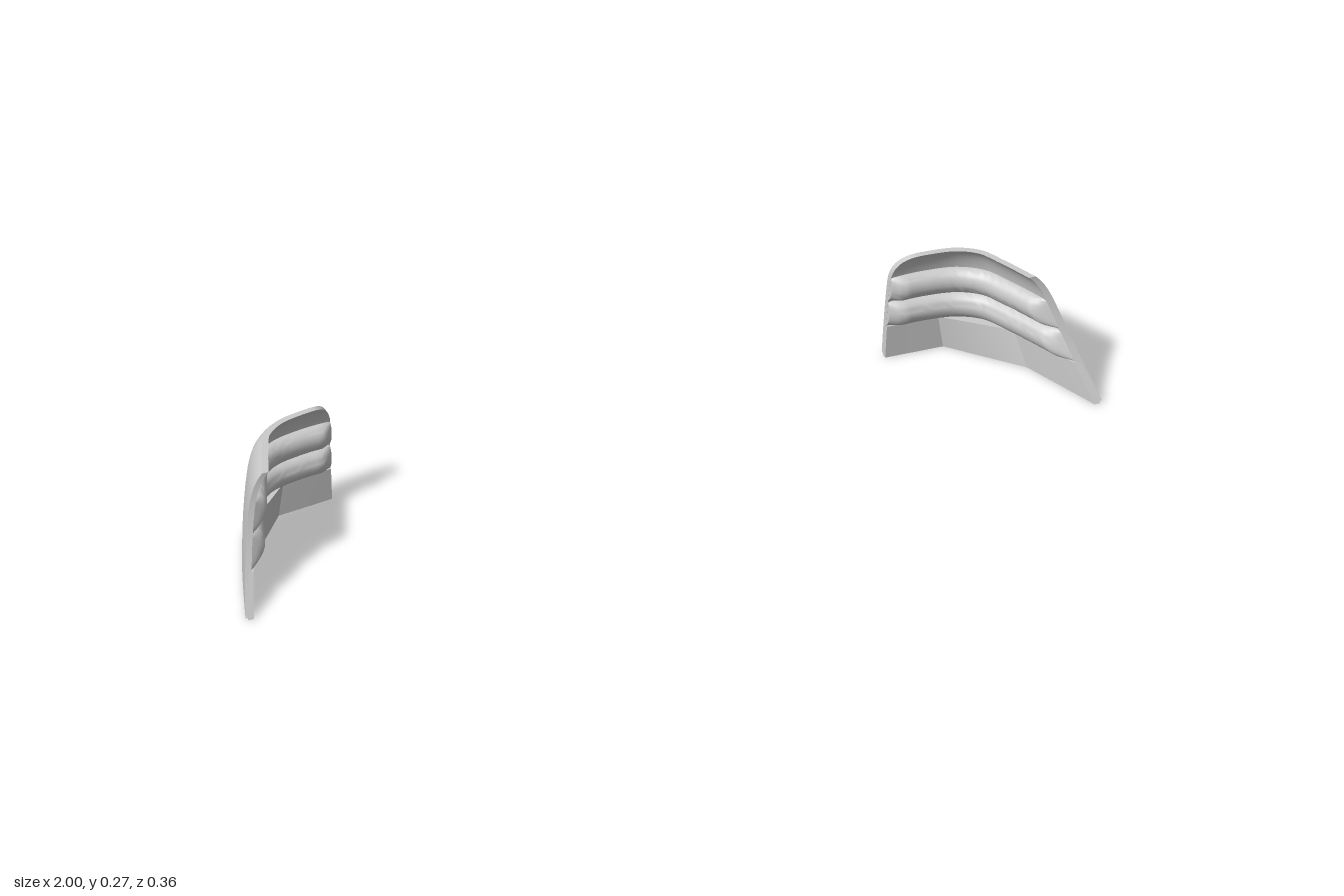
import * as THREE from 'three';
import { toCreasedNormals } from 'three/addons/utils/BufferGeometryUtils.js';

const HEIGHT = 0.27;

// Plan line of the outer face (x, z), from the rear end to the front tip
const plan = new THREE.CatmullRomCurve3([
  [0.645, -0.18], [0.73, -0.176], [0.81, -0.158], [0.87, -0.115],
  [0.905, -0.05], [0.94, 0.03], [1, 0.18],
].map(([x, z]) => new THREE.Vector3(x, 0, z)));

// Swept front edge, rounded rear edge and inward lean, all by height
const frontZ = (y) => 0.047 + 0.133 * Math.pow(1 - y / HEIGHT, 1.52);
const rearX = (y) => {
  const k = Math.min(1, Math.max(0, (y - 0.2) / 0.07));
  return 0.645 + 0.04 * y + 0.05 * (1 - Math.sqrt(1 - k * k));
};
const lean = (y) => 0.02 * (y / HEIGHT) ** 2 + 0.022 * (y / HEIGHT) ** 10;

// Point at plan position s, height y and depth behind the outer face
function planPoint(s, y, depth) {
  const p = plan.getPointAt(s), t = plan.getTangentAt(s), d = depth + lean(y);
  return new THREE.Vector3(p.x - t.z * d, y, p.z + t.x * d);
}

function solve(test) {
  let lo = 0, hi = 1;
  for (let i = 0; i < 16; i++) {
    const mid = (lo + hi) / 2;
    if (test(mid)) lo = mid; else hi = mid;
  }
  return (lo + hi) / 2;
}

// Row of points along the panel, u = 0 at the rear edge, 1 at the front edge
function rowAt(y, depth) {
  const s0 = solve((s) => planPoint(s, y, depth).x < rearX(y));
  const s1 = solve((s) => planPoint(s, y, depth).z < frontZ(y));
  return (u, d = depth) => planPoint(s0 + (s1 - s0) * u, y, d);
}

// Closed solid from rows [height, outer depth, inner depth]
function sweep(rows, side, { columns = 32, breaks = null, taper = false, crease = 0.6 } = {}) {
  const loop = [...rows.map(([y, a]) => [y, a, false]),
    ...rows.map(([y, , b]) => [y, b, true]).reverse()];
  const n = loop.length, pos = [], index = [];
  const lines = loop.map(([y, d]) => rowAt(y, d));
  for (let i = 0; i <= columns; i++) {
    const u = i / columns;
    loop.forEach(([, d, inner], j) => {
      let p;
      if (inner && breaks) {
        // straight facets between the break positions
        let k = 0;
        while (k < breaks.length - 2 && u > breaks[k + 1]) k++;
        const f = (u - breaks[k]) / (breaks[k + 1] - breaks[k]);
        p = lines[j](breaks[k]).lerp(lines[j](breaks[k + 1]), f);
      } else {
        const scale = inner && taper ? Math.min(1, 0.55 + Math.min(u, 1 - u) * 9) : 1;
        p = lines[j](u, d * scale);
      }
      pos.push(p.x * side, p.y, p.z);
    });
  }
  const quad = (a, b, c, d) => {
    if (side > 0) index.push(a, b, c, a, c, d);
    else index.push(a, c, b, a, d, c);
  };
  for (let i = 0; i < columns; i++) {
    for (let j = 0; j < n; j++) {
      const k = (j + 1) % n, a = i * n, b = a + n;
      quad(a + j, a + k, b + k, b + j);
    }
  }
  // end caps
  const e = columns * n;
  for (let j = 0; j < rows.length - 1; j++) {
    const m = n - 1 - j;
    quad(j, m, m - 1, j + 1);
    quad(e + j, e + j + 1, e + m - 1, e + m);
  }
  const geo = new THREE.BufferGeometry();
  geo.setAttribute('position', new THREE.Float32BufferAttribute(pos, 3));
  geo.setIndex(index);
  return toCreasedNormals(geo, crease);
}

const steps = (n, fn) => Array.from({ length: n + 1 }, (_, i) => fn(i / n));

export function createModel() {
  const model = new THREE.Group();
  model.name = 'curvedPanelPair';
  const material = new THREE.MeshStandardMaterial({ color: 0xcccccc, side: THREE.DoubleSide });

  // Shell rows are closer together towards the rounded top
  const shellRows = steps(18, (t) => [0.004 + 0.266 * Math.sin(t * Math.PI / 2), 0, 0.014]);
  // Padded rib with a rounded inner face
  const ribRows = (centre) => steps(12, (t) => {
    const a = (t - 0.5) * Math.PI;
    return [centre + 0.033 * Math.sin(a), 0.008, 0.012 + 0.032 * Math.cos(a)];
  });
  // Low faceted band that fills the corner at the foot
  const bandRows = [[0, 0.006, 0.018], [0.08, 0.006, 0.018]];

  for (const [side, label] of [[1, 'left'], [-1, 'right']]) {
    const panel = new THREE.Group();
    panel.name = label + 'Panel';
    const add = (name, geo) => {
      const mesh = new THREE.Mesh(geo, material);
      mesh.name = name;
      panel.add(mesh);
    };
    add('shell', sweep(shellRows, side));
    add('lowerRib', sweep(ribRows(0.112), side, { taper: true }));
    add('upperRib', sweep(ribRows(0.178), side, { taper: true }));
    add('footBand', sweep(bandRows, side, { columns: 25, breaks: [0, 0.24, 0.64, 1], crease: 0.3 }));
    model.add(panel);
  }
  return model;
}
